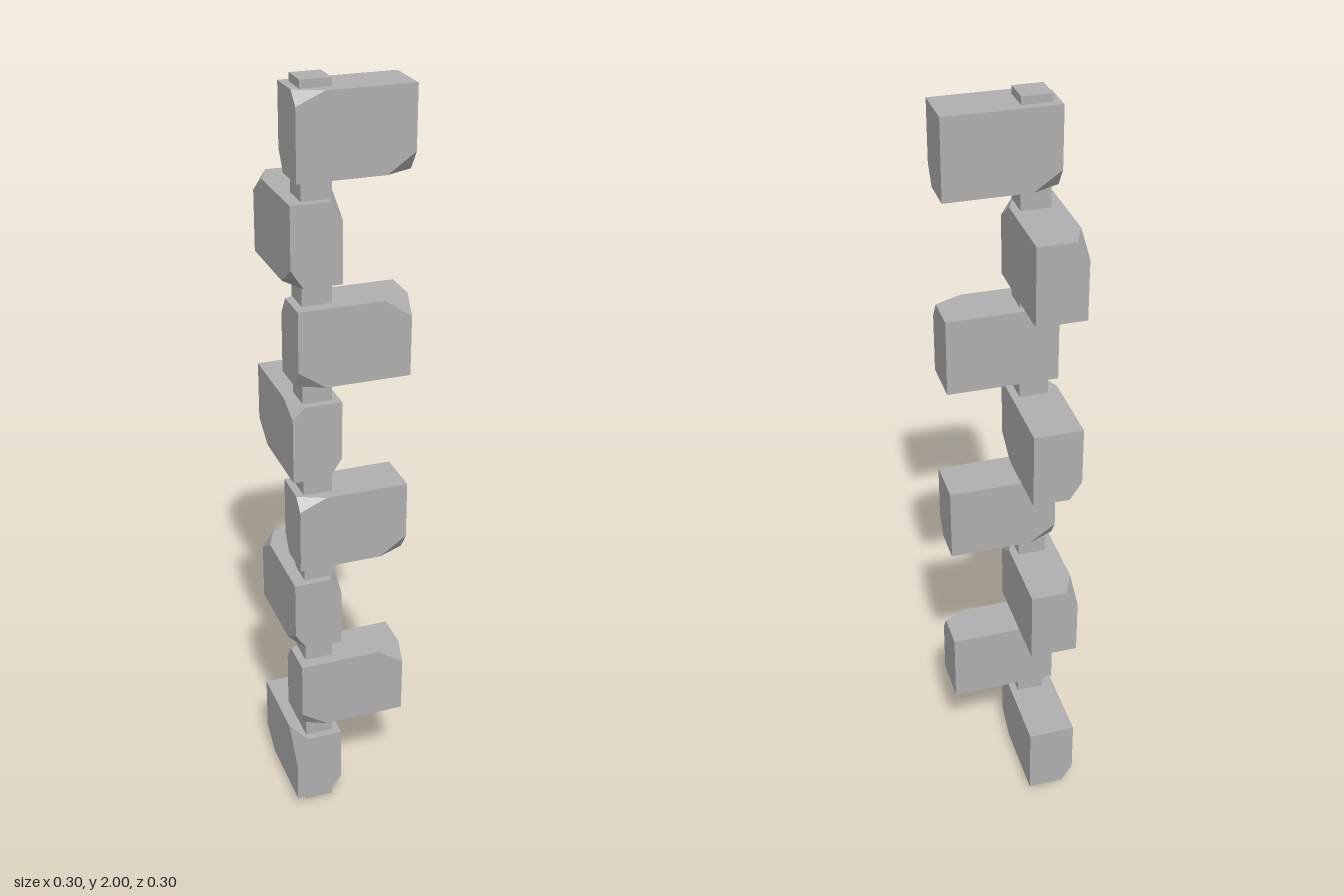
import * as THREE from 'three';
import { ConvexGeometry } from 'three/addons/geometries/ConvexGeometry.js';

// Chipped corners: signs along [length, height, width] and chip depth in height.
// Length +1 is the far end of a stone, width +1 is its outer face.
const CHIPS_A = [[-1, 1, 1, 0.03], [1, -1, 1, 0.047], [-1, -1, -1, 0.047]];
const CHIPS_B = [[1, 1, 1, 0.047], [-1, -1, 1, 0.047], [-1, 1, -1, 0.047]];
const CHIPS_BASE = [[-1, 1, 1, 0.09], ...CHIPS_A.slice(1)];
const HALF = [0.1418, 0.1, 0.0628]; // half length, height, width

// Box with some corners sliced off; the long axis is local x
function stoneGeometry(chips, turned) {
  const points = [];
  for (const sx of [-1, 1]) for (const sy of [-1, 1]) for (const sz of [-1, 1]) {
    const corner = new THREE.Vector3(sx * HALF[0], sy * HALF[1], sz * HALF[2]);
    const chip = chips.find(c => c[0] === sx && c[1] === sy && c[2] === sz);
    if (!chip) { points.push(corner); continue; }
    points.push(corner.clone().setX(corner.x - sx * 0.069));
    points.push(corner.clone().setY(corner.y - sy * chip[3]));
    points.push(corner.clone().setZ(corner.z - sz * 0.031));
  }
  // Turned stones run towards -z with their outer face towards -x
  if (turned) for (const p of points) p.set(-p.z, p.y, -p.x);
  return new ConvexGeometry(points);
}

export function createModel() {
  const group = new THREE.Group();
  const stone = new THREE.MeshStandardMaterial({ color: 0xb0b0b0 });
  stone.name = 'grey stone';

  // Square core running through every stone
  const core = new THREE.Mesh(new THREE.BoxGeometry(0.074, 2, 0.074), stone);
  core.name = 'corePost';
  core.position.set(-0.08, 1, 0.078);
  group.add(core);

  // Corner stones, alternating between the two wall directions
  for (let i = 0; i < 8; i++) {
    const turned = i % 2 === 0;
    const chips = i === 0 ? CHIPS_BASE : [CHIPS_A, CHIPS_B, CHIPS_B, CHIPS_A][i % 4];
    const block = new THREE.Mesh(stoneGeometry(chips, turned), stone);
    block.name = (turned ? 'sideStone' : 'frontStone') + (i + 1);
    const y = 0.127 + i * 0.2505;
    if (turned) block.position.set(-0.0862, y, -0.0072);
    else block.position.set(0.005, y, 0.0835);
    group.add(block);
  }
  return group;
}
